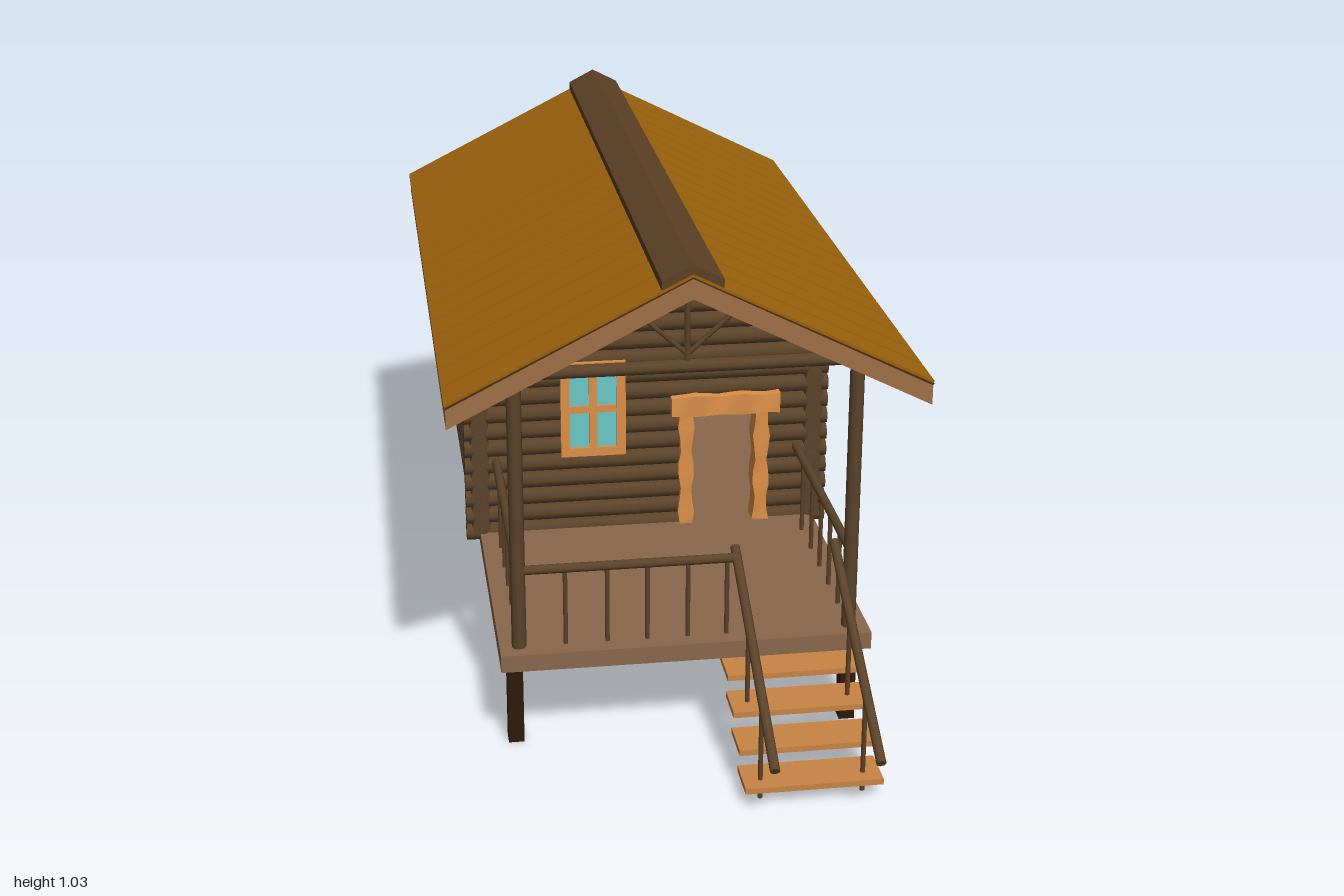
import * as THREE from 'three';

const mat = (color, extra = {}) => {
  const m = new THREE.MeshStandardMaterial(extra);
  m.color.set(color);
  return m;
};
const M = {
  log: mat(0x5c442a), post: mat(0x5c442a), stilt: mat(0x2e1a0a), deck: mat(0x8a684c),
  fascia: mat(0xa07048), plank: mat(0x9c620c), gap: mat(0x4a2e10), ridge: mat(0x5c4024),
  trim: mat(0xdc9048), tread: mat(0xc88444), glass: mat(0x6cc8c8),
};
const V = (x, y, z) => new THREE.Vector3(x, y, z);

function add(parent, name, geo, material, x = 0, y = 0, z = 0) {
  const m = new THREE.Mesh(geo, material);
  m.name = name;
  m.position.set(x, y, z);
  parent.add(m);
  return m;
}
// Box given by its limits on each axis
const box = (p, name, material, x0, x1, y0, y1, z0, z1) =>
  add(p, name, new THREE.BoxGeometry(x1 - x0, y1 - y0, z1 - z0), material,
    (x0 + x1) / 2, (y0 + y1) / 2, (z0 + z1) / 2);
// Round pole between two points
function pole(p, name, material, a, b, r, sides = 8) {
  const d = b.clone().sub(a);
  const m = add(p, name, new THREE.CylinderGeometry(r, r, d.length(), sides), material);
  m.position.copy(a).add(b).multiplyScalar(0.5);
  m.quaternion.setFromUnitVectors(V(0, 1, 0), d.normalize());
  return m;
}
function group(parent, name) {
  const g = new THREE.Group();
  g.name = name;
  parent.add(g);
  return g;
}
// Outline in x and y, extruded from z0 to z1
function prism(p, name, material, pts, z0, z1) {
  const shape = new THREE.Shape(pts.map(q => new THREE.Vector2(...q)));
  const geo = new THREE.ExtrudeGeometry(shape, { depth: z1 - z0, bevelEnabled: false });
  return add(p, name, geo, material, 0, 0, z0);
}

const SLOPE = 0.505, EAVE = 0.475, UNDER = 0.965, TOP = 1.005;
const DECK = 0.217, FRONT = 0, BACK = -0.9, R = 0.021, STEP = 0.04;

function buildWalls(root) {
  const walls = group(root, 'logWalls');
  // Front and back walls, shortened under the gable; the front is cut at the door
  for (const z of [FRONT, BACK]) {
    const name = z === FRONT ? 'frontLog' : 'backLog';
    for (let k = 0; k < 18; k++) {
      const y = 0.215 + k * STEP;
      const half = Math.min(0.41, (UNDER - y - 0.012) / SLOPE);
      if (z === FRONT && y < 0.49) {
        pole(walls, name, M.log, V(-half, y, z), V(0.085, y, z), R);
        pole(walls, name, M.log, V(0.255, y, z), V(half, y, z), R);
      } else pole(walls, name, M.log, V(-half, y, z), V(half, y, z), R);
    }
    prism(walls, 'gableBacking', M.log,
      [[-0.37, 0.77], [0.37, 0.77], [0, UNDER - 0.003]], z - 0.005, z + 0.005);
  }
  // Side walls, half a log higher so the corners interlock
  for (const x of [-0.377, 0.377])
    for (let k = 0; k < 14; k++) {
      const y = 0.235 + k * STEP;
      pole(walls, 'sideLog', M.log, V(x, y, BACK - 0.02), V(x, y, FRONT + 0.026), R);
    }
}

function buildRoof(root) {
  const roof = group(root, 'roof');
  const z0 = -1, z1 = 0.64;
  const line = (c, x) => c - SLOPE * Math.abs(x);
  prism(roof, 'roofSlab', M.fascia, [
    [0, UNDER], [EAVE, line(UNDER, EAVE)], [EAVE, line(TOP, EAVE)],
    [0, TOP], [-EAVE, line(TOP, EAVE)], [-EAVE, line(UNDER, EAVE)]], z0, z1);
  // Planks running down each slope over a dark layer
  const n = 17, w = (z1 - z0) / n;
  for (const s of [-1, 1]) {
    const strip = (name, m, t, a, b) => prism(roof, name, m, [
      [0, TOP], [s * EAVE, line(TOP, EAVE)],
      [s * (EAVE + 0.003), line(TOP + t, EAVE)], [0, TOP + t]], a, b);
    strip('plankGaps', M.gap, 0.003, z0 + 0.002, z1 - 0.002);
    for (let i = 0; i < n; i++)
      strip('roofPlank', M.plank, 0.009, z0 + i * w + 0.003, z0 + (i + 1) * w - 0.003);
  }
  prism(roof, 'ridgeCap', M.ridge, [
    [0, 1.005], [0.06, 0.977], [0.06, 1.002], [0, 1.033], [-0.06, 1.002], [-0.06, 0.977]],
  -0.995, 0.636);
}

function buildPorch(root) {
  const porch = group(root, 'porch');
  const pz = 0.57, px = 0.34, railY = 0.386;
  for (const s of [-1, 1]) {
    const x = s * px;
    pole(porch, 'roofPost', M.post, V(x, DECK, pz), V(x, 0.8, pz), 0.015);
    pole(porch, 'sideRail', M.post, V(x, railY, pz), V(x, railY, 0.01), 0.01);
    for (const z of [0.47, 0.38, 0.29, 0.2, 0.1])
      pole(porch, 'sideBaluster', M.post, V(x, DECK, z), V(x, railY, z), 0.005, 6);
    pole(porch, 'trussBrace', M.post, V(0, 0.83, pz), V(s * 0.095, 0.915, pz), 0.005, 6);
  }
  pole(porch, 'tieBeam', M.post, V(-px, 0.805, pz), V(px, 0.805, pz), 0.014);
  pole(porch, 'kingPost', M.post, V(0, 0.81, pz), V(0, 0.97, pz), 0.006, 6);
  pole(porch, 'frontRail', M.post, V(-px, railY, pz), V(0.105, railY, pz), 0.01);
  for (const x of [-0.245, -0.16, -0.078, 0.005, 0.085])
    pole(porch, 'frontBaluster', M.post, V(x, DECK, pz), V(x, railY, pz), 0.005, 6);
}

function buildStairs(root) {
  const stairs = group(root, 'stairs');
  for (let i = 0; i < 4; i++) {
    const y = 0.17 - i * 0.045, z = 0.633 + i * 0.07;
    box(stairs, 'tread', M.tread, 0.07, 0.345, y - 0.006, y + 0.006, z - 0.045, z + 0.045);
  }
  for (const x of [0.105, 0.31]) {
    pole(stairs, 'handrail', M.post, V(x, 0.398, 0.545), V(x, 0.142, 0.995), 0.01);
    pole(stairs, 'railPost', M.post, V(x, 0, 0.855), V(x, 0.222, 0.855), 0.005, 6);
    pole(stairs, 'railPost', M.post, V(x, 0.125, 0.705), V(x, 0.307, 0.705), 0.005, 6);
  }
}

// Framed window in the x-y plane, centred on its group
function windowUnit(root, name, w, h, bars) {
  const g = group(root, name), t = 0.02, d = 0.012;
  for (const s of [-1, 1]) {
    box(g, 'frameRail', M.trim, -w / 2, w / 2, s * (h - t) / 2 - t / 2, s * (h - t) / 2 + t / 2, -0.03, d);
    box(g, 'frameStile', M.trim, s * (w - t) / 2 - t / 2, s * (w - t) / 2 + t / 2, -h / 2 + t, h / 2 - t, -0.03, d);
  }
  box(g, 'glass', M.glass, -w / 2 + t, w / 2 - t, -h / 2 + t, h / 2 - t, -0.03, 0.004);
  if (bars) {
    box(g, 'verticalBar', M.trim, -0.009, 0.009, -h / 2 + t, h / 2 - t, -0.02, 0.01);
    box(g, 'crossBar', M.trim, -w / 2 + t, w / 2 - t, -0.008, 0.008, -0.02, 0.01);
  }
  return g;
}

// Rough-hewn timber: a box whose long edges waver
function roughTimber(p, name, w, h, d, x, y, z, seed) {
  const tall = h > w;
  const geo = new THREE.BoxGeometry(w, h, d, tall ? 1 : 9, tall ? 9 : 1, 1);
  const pos = geo.attributes.position;
  for (let i = 0; i < pos.count; i++) {
    const along = tall ? pos.getY(i) : pos.getX(i);
    const side = Math.sign(tall ? pos.getX(i) : pos.getY(i));
    const off = 0.003 * Math.sin(along * 61 + seed + side * 1.7);
    if (tall) pos.setX(i, pos.getX(i) + off);
    else pos.setY(i, pos.getY(i) + off);
    if (pos.getZ(i) > 0) pos.setZ(i, pos.getZ(i) + off);
  }
  geo.computeVertexNormals();
  add(p, name, geo, M.trim, x, y, z);
}

export function createModel() {
  const root = new THREE.Group();
  root.name = 'logCabin';

  // Deck on four stilts
  box(root, 'deck', M.deck, -0.38, 0.38, 0.18, DECK, -0.9, 0.61);
  for (const x of [-0.35, 0.342])
    for (const z of [0.56, -0.84])
      box(root, 'stilt', M.stilt, x - 0.016, x + 0.016, 0, 0.182, z - 0.017, z + 0.017);

  buildWalls(root);
  buildRoof(root);
  buildPorch(root);
  buildStairs(root);

  // Door surround
  const door = group(root, 'doorFrame');
  roughTimber(door, 'doorJamb', 0.03, 0.265, 0.05, 0.086, 0.349, 0.006, 0);
  roughTimber(door, 'doorJamb', 0.032, 0.265, 0.05, 0.257, 0.349, 0.006, 2);
  roughTimber(door, 'doorLintel', 0.245, 0.046, 0.05, 0.174, 0.504, 0.015, 4);

  windowUnit(root, 'frontWindow', 0.145, 0.222, true).position.set(-0.123, 0.506, 0.018);
  const side = windowUnit(root, 'sideWindow', 0.355, 0.182, false);
  side.position.set(0.394, 0.56, -0.432);
  side.rotation.y = Math.PI / 2;
  return root;
}
